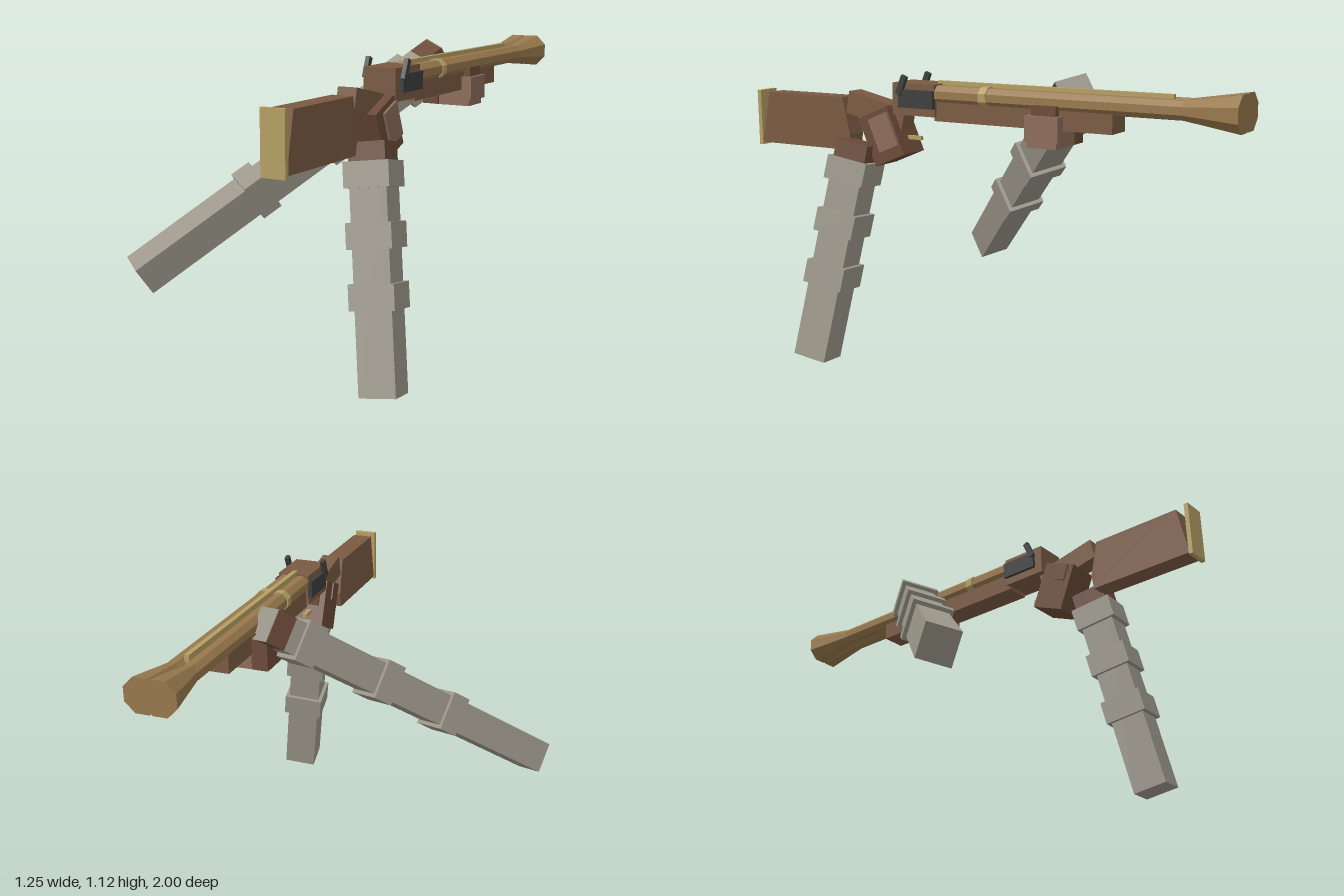
import * as THREE from 'three';

const mat = (color) => new THREE.MeshStandardMaterial({ color, flatShading: true, side: THREE.DoubleSide });
const wood = mat(0x7a5a42), darkWood = mat(0x4e3729), skin = mat(0x6b4a38), paleSkin = mat(0x8c6b5a);
const bronze = mat(0x97784c), brass = mat(0xb39e63), steel = mat(0x3e3e3e), cloth = mat(0x9c978a);

const GUN_X = 0.365;

export function createModel() {
  const model = new THREE.Group();

  const add = (parent, name, geometry, material, x = 0, y = 0, z = 0) => {
    const mesh = new THREE.Mesh(geometry, material);
    mesh.name = name;
    mesh.position.set(x, y, z);
    parent.add(mesh);
    return mesh;
  };
  // box given by its extents along each axis
  const span = (parent, name, material, x0, x1, y0, y1, z0, z1) =>
    add(parent, name, new THREE.BoxGeometry(x1 - x0, y1 - y0, z1 - z0), material,
      (x0 + x1) / 2, (y0 + y1) / 2, (z0 + z1) / 2);

  const gun = new THREE.Group();
  gun.name = 'gun';
  model.add(gun);

  // twin flared barrels, hammers and lock plates, mirrored about the gun axis
  const barrelProfile = [[0, -0.16], [0.035, -0.16], [0.035, 0.8], [0.068, 1], [0, 1]]
    .map(([r, l]) => new THREE.Vector2(r, l));
  for (const s of [-1, 1]) {
    const barrel = add(gun, 'barrel', new THREE.LatheGeometry(barrelProfile, 8, Math.PI / 8), bronze,
      GUN_X + s * 0.031, 1.046, 0);
    barrel.rotation.x = -Math.PI / 2;
    const band = add(gun, 'barrelBand', new THREE.CylinderGeometry(0.039, 0.039, 0.03, 8, 1, false, Math.PI / 8), brass,
      GUN_X + s * 0.031, 1.046, -0.05);
    band.rotation.x = -Math.PI / 2;
    add(gun, 'lockPlate', new THREE.BoxGeometry(0.018, 0.065, 0.15), steel, GUN_X + s * 0.068, 1.027, 0.225);
    const hammer = add(gun, 'hammer', new THREE.BoxGeometry(0.016, 0.075, 0.022), steel, GUN_X + s * 0.076, 1.075, 0.283);
    hammer.rotation.x = -0.4;
  }
  span(gun, 'topRib', brass, GUN_X - 0.009, GUN_X + 0.009, 1.06, 1.092, -0.75, 0.17);

  // woodwork
  span(gun, 'receiver', wood, 0.302, 0.428, 0.965, 1.082, 0.15, 0.333);
  span(gun, 'foreStock', wood, 0.315, 0.415, 0.95, 1.022, -0.55, 0.16);
  const wrist = add(gun, 'stockWrist', new THREE.BoxGeometry(0.072, 0.085, 0.26), wood, GUN_X, 0.968, 0.435);
  wrist.rotation.x = -0.21;
  const buttShape = new THREE.Shape([[0.985, 0.812], [0.945, 1.012], [0.585, 1.012], [0.552, 0.87], [0.562, 0.812]]
    .map(([z, y]) => new THREE.Vector2(-z, y)));
  const butt = add(gun, 'buttStock',
    new THREE.ExtrudeGeometry(buttShape, { depth: 0.08, bevelEnabled: false }), wood, GUN_X - 0.04, 0, 0);
  butt.rotation.y = Math.PI / 2;
  span(gun, 'buttPlate', brass, 0.32, 0.41, 0.803, 1.018, 0.983, 1);
  span(gun, 'trigger', brass, GUN_X - 0.008, GUN_X + 0.008, 0.868, 0.882, 0.25, 0.34);

  // hand around the grip
  const gripHand = new THREE.Group();
  gripHand.name = 'gripHand';
  gripHand.position.set(0.37, 0.88, 0.385);
  gripHand.rotation.x = 0.4;
  model.add(gripHand);
  add(gripHand, 'palm', new THREE.BoxGeometry(0.13, 0.19, 0.14), skin);
  add(gripHand, 'thumb', new THREE.BoxGeometry(0.022, 0.07, 0.05), skin, -0.06, 0.06, 0.02);
  add(gripHand, 'knuckles', new THREE.BoxGeometry(0.03, 0.13, 0.09), paleSkin, 0.06, 0.01, -0.02);

  // hand around the fore stock
  const foreHand = new THREE.Group();
  foreHand.name = 'foreHand';
  model.add(foreHand);
  span(foreHand, 'palm', paleSkin, 0.285, 0.445, 0.888, 0.952, -0.355, -0.24);
  span(foreHand, 'fingers', paleSkin, 0.415, 0.455, 0.91, 1.0, -0.365, -0.235);
  span(foreHand, 'fingerTips', skin, 0.405, 0.44, 0.96, 1.035, -0.35, -0.255);
  span(foreHand, 'handBack', skin, 0.255, 0.318, 0.89, 1.03, -0.36, -0.23);

  // square sleeve with raised cuffs, running along its own y axis
  const arm = (name, from, to, side, width, cuffs, cuffLength, handStart) => {
    const group = new THREE.Group();
    group.name = name;
    const a = new THREE.Vector3(...from);
    const d = new THREE.Vector3(...to).sub(a);
    const length = d.length();
    d.normalize();
    const u = new THREE.Vector3(...side);
    u.addScaledVector(d, -u.dot(d)).normalize();
    group.quaternion.setFromRotationMatrix(new THREE.Matrix4().makeBasis(u, d, u.clone().cross(d)));
    group.position.copy(a);
    model.add(group);
    const block = (part, material, w, y0, y1) => span(group, part, material, -w / 2, w / 2, y0, y1, -w / 2, w / 2);
    block('sleeve', cloth, width, 0, handStart * length);
    block('wrist', skin, width, handStart * length, length);
    for (const t of cuffs) block('cuff', cloth, width + 0.03, t * length, t * length + cuffLength);
    return { block, length };
  };
  arm('gripArm', [0.55, 0.027, 0.63], [0.425, 0.85, 0.49], [0.98, 0.1, -0.17], 0.13,
    [0.34, 0.58, 0.82], 0.088, 0.91);
  const fore = arm('foreArm', [-0.56, 0.26, 0.53], [0.27, 1.065, -0.345], [0.8, -0.2, 0.56], 0.125,
    [0.35, 0.59, 0.855], 0.083, 0.945);
  fore.block('wristEnd', cloth, 0.125, fore.length, fore.length + 0.003);

  return model;
}
